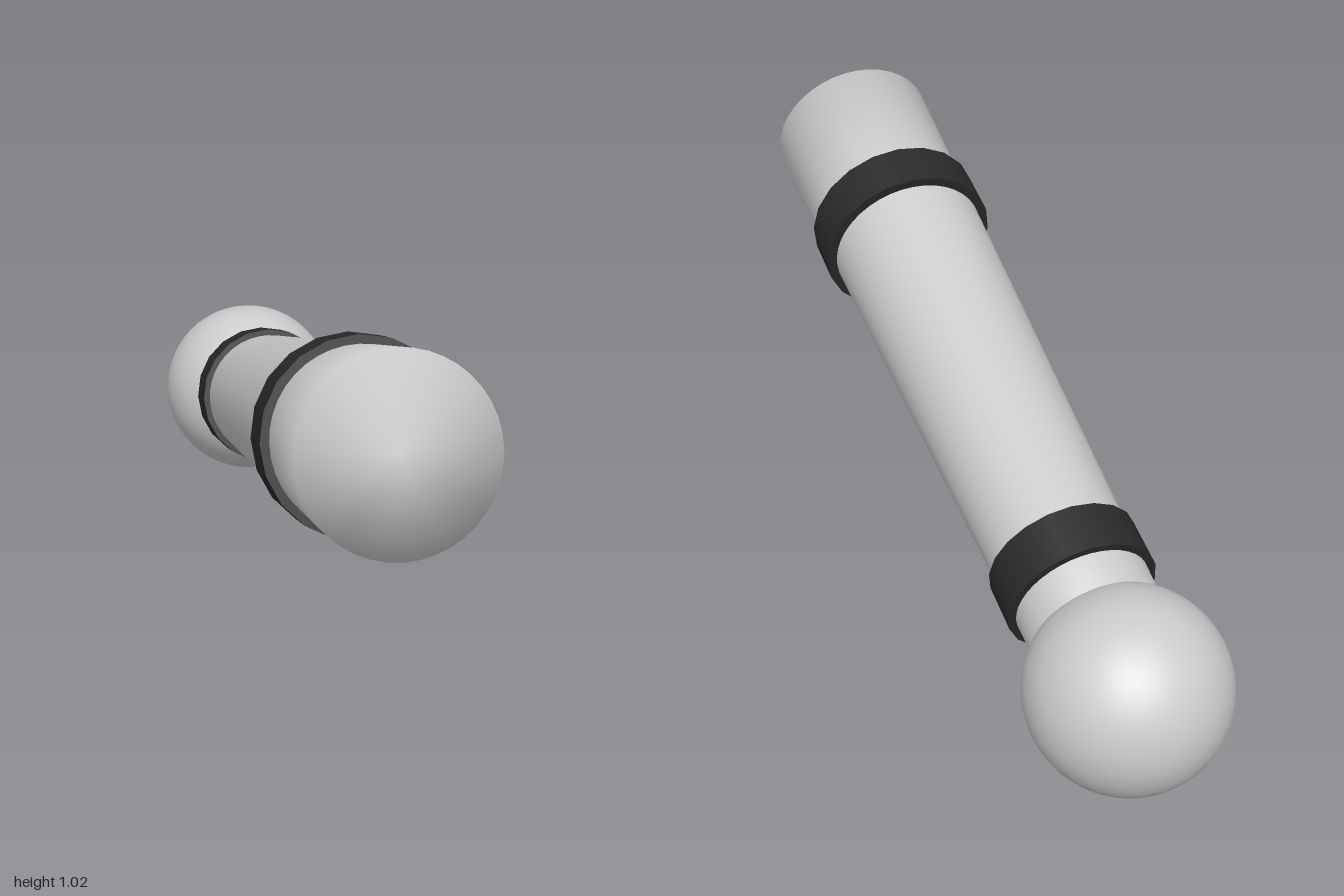
import * as THREE from 'three';

export function createModel() {
  const group = new THREE.Group();
  const grey = new THREE.MeshStandardMaterial({ color: 0xcccccc });
  const black = new THREE.MeshStandardMaterial({ color: 0x2a2a2a });

  // The limb is built upright from the ball joint, then tilted onto its axis
  const limb = new THREE.Group();
  limb.name = 'limb';
  const joint = new THREE.Vector3(-0.75, 0.255, -0.537);
  const end = new THREE.Vector3(0.865, 0.803, 0.6);
  const axis = end.clone().sub(joint);
  const length = axis.length();
  limb.position.copy(joint);
  limb.quaternion.setFromUnitVectors(new THREE.Vector3(0, 1, 0), axis.normalize());
  group.add(limb);

  const add = (name, geometry, material, y = 0) => {
    const mesh = new THREE.Mesh(geometry, material);
    mesh.name = name;
    mesh.position.y = y;
    limb.add(mesh);
  };

  // Ball joint
  add('ballJoint', new THREE.SphereGeometry(0.251, 48, 32), grey);

  // Tapered shaft with a flat end whose shading is smooth over the rim
  const radiusAt = (y) => 0.17 + 0.0305 * (y - 0.18);
  const profile = [[0, 0.1], [radiusAt(0.1), 0.1], [radiusAt(0.343), 0.343],
    [radiusAt(1.62), 1.62], [radiusAt(length), length], [0, length]];
  add('shaft', new THREE.LatheGeometry(profile.map((p) => new THREE.Vector2(...p)), 40), grey);

  // Dark bands around both ends of the shaft
  for (const [name, y, radius] of [['lowerBand', 0.343, 0.194], ['upperBand', 1.62, 0.238]]) {
    add(name, new THREE.CylinderGeometry(radius, radius, 0.13, 20), black, y);
  }
  return group;
}
